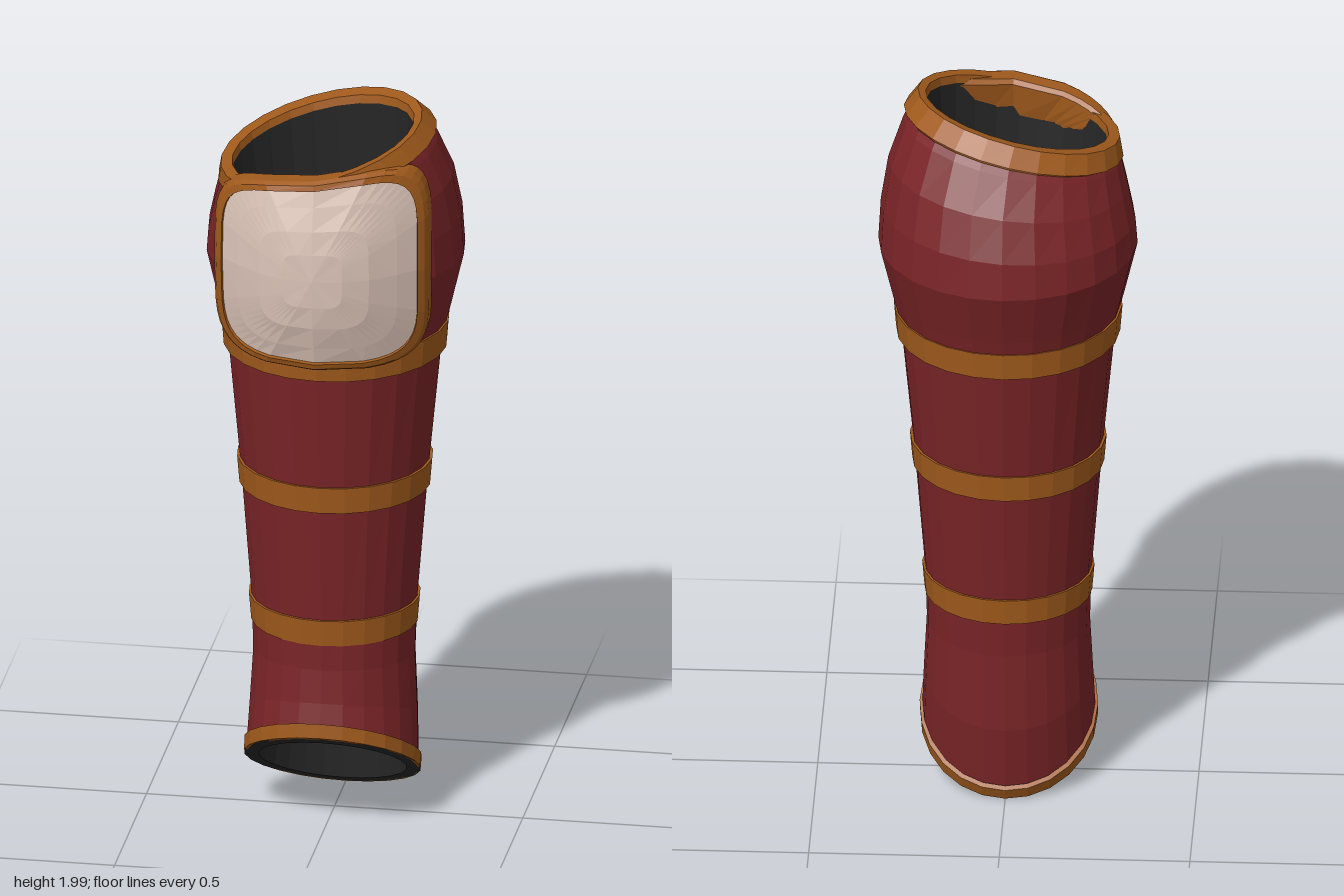
import * as THREE from 'three';

const SIDES = 24;

// Faceted skin over closed loops of points; rising loops face outward.
function skin(loops) {
  const n = loops[0].length;
  const index = [];
  for (let i = 0; i < loops.length - 1; i++) {
    for (let j = 0; j < n; j++) {
      const a = i * n + j, b = i * n + (j + 1) % n;
      index.push(a, b, b + n, a, b + n, a + n);
    }
  }
  const g = new THREE.BufferGeometry();
  g.setAttribute('position', new THREE.Float32BufferAttribute(loops.flat(2), 3));
  g.setIndex(index);
  const flat = g.toNonIndexed();
  flat.computeVertexNormals();
  return flat;
}

// Oval ring: height, half width, front z, back z, centre x, slopes along x and z
function ring([y, rx, zf, zb, cx = 0, tx = 0, tz = 0]) {
  return Array.from({ length: SIDES }, (_, j) => {
    const a = (j / SIDES) * Math.PI * 2;
    const x = cx + rx * Math.sin(a);
    const z = (zf + zb) / 2 + ((zf - zb) / 2) * Math.cos(a);
    return [x, y + tx * x + tz * z, z];
  });
}
const loft = (sections) => skin(sections.map(ring));

// Rounded-square loop on the bulging knee surface, scaled by s and offset in z
function kneeLoop([s, dz]) {
  const n = 40;
  const soft = (v) => Math.sign(v) * Math.pow(Math.abs(v), 0.4);
  return Array.from({ length: n }, (_, j) => {
    const a = (j / n) * Math.PI * 2;
    const x = 0.265 * s * soft(Math.cos(a));
    const v = s * soft(Math.sin(a));
    const y = 1.64 + 0.25 * v + 0.12 * x * Math.max(0, v);
    return [x, y, 0.36 + dz - 1.9 * x * x - 0.6 * (y - 1.65) ** 2];
  });
}

export function createModel() {
  const group = new THREE.Group();
  const material = (name, color) => {
    const m = new THREE.MeshStandardMaterial({ color });
    m.name = name;
    return m;
  };
  const red = material('dark red', 0x7a2427);
  const brightRed = material('bright red', 0xb02a2c);
  const bronze = material('bronze trim', 0xa05a1c);
  const ivory = material('ivory', 0xdcc4b8);
  const black = material('black lining', 0x262626);
  const add = (name, geometry, mat) => {
    const mesh = new THREE.Mesh(geometry, mat);
    mesh.name = name;
    group.add(mesh);
  };

  // Shin, from the slanted ankle up to the knee band
  add('shin', loft([
    [0.135, 0.228, 0.237, -0.17, 0, 0, 0.69],
    [0.3, 0.222, 0.218, -0.197, 0, 0, 0.4],
    [0.46, 0.214, 0.208, -0.2, 0, 0, 0.08],
    [0.6, 0.218, 0.208, -0.212],
    [0.97, 0.247, 0.235, -0.25],
    [1.36, 0.284, 0.272, -0.3],
  ]), red);

  // Bulging knee section with a tilted opening
  add('kneeGuard', loft([
    [1.36, 0.284, 0.272, -0.3],
    [1.44, 0.305, 0.29, -0.32],
    [1.59, 0.34, 0.322, -0.365],
    [1.68, 0.334, 0.325, -0.352, 0, 0.06, -0.03],
    [1.78, 0.315, 0.322, -0.31, 0, 0.12, -0.06],
    [1.87, 0.287, 0.31, -0.245, -0.01, 0.2, -0.1],
    [1.93, 0.262, 0.305, -0.195, -0.02, 0.25, -0.13],
  ]), red);

  // Inside lining, running down from the top opening to the ankle
  add('lining', loft([
    [1.925, 0.238, 0.28, -0.155, -0.02, 0.25, -0.13],
    [1.3, 0.2, 0.23, -0.17],
    [0.5, 0.143, 0.14, -0.13],
    [0.13, 0.195, 0.2, -0.14, 0, 0, 0.69],
    [0.13, 0.232, 0.243, -0.174, 0, 0, 0.69],
  ]), black);

  // Trim around both openings
  add('topTrim', loft([
    [1.885, 0.28, 0.308, -0.235, -0.012, 0.23, -0.12],
    [1.89, 0.288, 0.316, -0.235, -0.012, 0.24, -0.12],
    [1.94, 0.265, 0.315, -0.195, -0.025, 0.25, -0.13],
    [1.937, 0.24, 0.282, -0.157, -0.02, 0.25, -0.13],
    [1.915, 0.236, 0.278, -0.153, -0.02, 0.25, -0.13],
  ]), bronze);
  add('ankleTrim', loft([
    [0.13, 0.225, 0.235, -0.168, 0, 0, 0.69],
    [0.13, 0.233, 0.246, -0.175, 0, 0, 0.69],
    [0.172, 0.234, 0.242, -0.19, 0, 0, 0.69],
    [0.174, 0.222, 0.225, -0.18, 0, 0, 0.69],
  ]), bronze);

  // Three bands with bright undersides: bottom, top, half width, front, back
  const bands = [
    [0.548, 0.62, 0.226, 0.217, -0.22],
    [0.935, 1.008, 0.258, 0.245, -0.26],
    [1.325, 1.4, 0.3, 0.285, -0.313],
  ];
  for (const [y0, y1, r, zf, zb] of bands) {
    const inner = [r - 0.03, zf - 0.03, zb + 0.03];
    const lower = [r - 0.006, zf - 0.006, zb + 0.006];
    add('band', loft([[y0, ...lower], [y1, r, zf, zb], [y1, ...inner]]), bronze);
    add('bandUnderside', loft([[y0, ...inner], [y0, ...lower]]), brightRed);
  }

  // Ivory knee plate and its raised frame
  add('kneePlate', skin([[1, 0], [0.8, 0], [0.55, 0.004], [0.3, 0.005], [0, 0.006]].map(kneeLoop)), ivory);
  add('kneePlateFrame', skin([
    [0, -0.07], [0.6, -0.07], [1.03, -0.06], [1.075, -0.045],
    [1.075, 0], [1.045, 0.012], [0.985, 0.012], [0.97, -0.01],
  ].map(kneeLoop)), bronze);

  return group;
}
